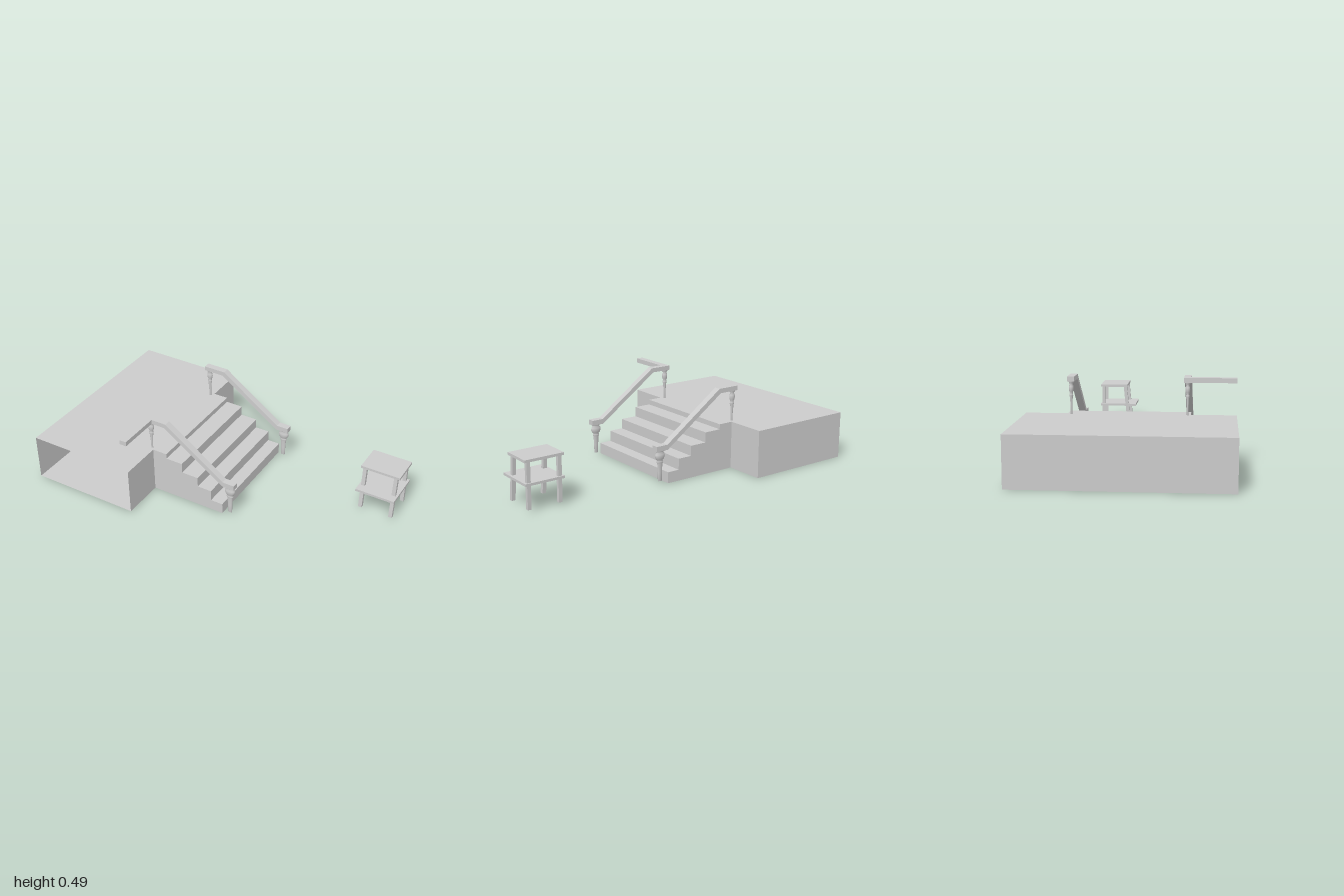
import * as THREE from 'three';

const grey = new THREE.MeshStandardMaterial({ color: 0xcccccc });
const greyThin = new THREE.MeshStandardMaterial({ color: 0xcccccc, side: THREE.DoubleSide });

function add(parent, name, geometry, material = grey) {
  const mesh = new THREE.Mesh(geometry, material);
  mesh.name = name;
  parent.add(mesh);
  return mesh;
}

// Box given by its low and high corners
function boxBetween([x0, y0, z0], [x1, y1, z1]) {
  return new THREE.BoxGeometry(x1 - x0, y1 - y0, z1 - z0)
    .translate((x0 + x1) / 2, (y0 + y1) / 2, (z0 + z1) / 2);
}

// Thin panels, each a loop of four corners
function panels(quads) {
  const pos = [];
  for (const [a, b, c, d] of quads) pos.push(...a, ...b, ...c, ...a, ...c, ...d);
  const geo = new THREE.BufferGeometry();
  geo.setAttribute('position', new THREE.Float32BufferAttribute(pos, 3));
  geo.computeVertexNormals();
  return geo;
}
const flat = (x0, x1, z0, z1, y) => [[x0, y, z1], [x1, y, z1], [x1, y, z0], [x0, y, z0]];
const floorPanel = (...args) => flat(...args).reverse();
const wallRight = (x, z0, z1, y0, y1) => [[x, y0, z1], [x, y0, z0], [x, y1, z0], [x, y1, z1]];
const wallLeft = (...args) => wallRight(...args).reverse();
const wallFront = (x0, x1, z, y0, y1) => [[x0, y0, z], [x1, y0, z], [x1, y1, z], [x0, y1, z]];
const wallBack = (...args) => wallFront(...args).reverse();

const H = 0.28, EDGE = -0.34, DEPTH = 0.585, STAIR_BACK = -0.35, STAIR_FRONT = 0.333;

// Hollow landing, open at the front
function makeLanding(parent) {
  add(parent, 'landing', panels([
    flat(-1, EDGE, -DEPTH, DEPTH, H),
    floorPanel(-1, EDGE, -DEPTH, DEPTH, 0),
    wallLeft(-1, -DEPTH, DEPTH, 0, H),
    wallBack(-1, EDGE, -DEPTH, 0, H),
    wallRight(EDGE, STAIR_FRONT, DEPTH, 0, H),
    wallRight(EDGE, -DEPTH, STAIR_BACK, 0, H),
  ]), greyThin);
}

// Steps with treads, risers, sides and a floor
function makeStairs(parent) {
  const steps = [[-0.25, H], [-0.145, 0.25], [-0.04, 0.19], [0.048, 0.13], [0.123, 0.065]];
  const quads = [floorPanel(EDGE, 0.123, STAIR_BACK, STAIR_FRONT, 0)];
  steps.forEach(([x1, y], i) => {
    const x0 = i ? steps[i - 1][0] : EDGE;
    const below = i < steps.length - 1 ? steps[i + 1][1] : 0;
    quads.push(
      flat(x0, x1, STAIR_BACK, STAIR_FRONT, y),
      wallRight(x1, STAIR_BACK, STAIR_FRONT, below, y),
      wallFront(x0, x1, STAIR_FRONT, 0, y),
      wallBack(x0, x1, STAIR_BACK, 0, y));
  });
  add(parent, 'stairs', panels(quads), greyThin);
}

// Handrail with a level top, a slope and a level foot
function makeRail(parent, name, z0, z1) {
  const outline = [[-0.38, 0.463], [-0.255, 0.463], [0.125, 0.197], [0.2, 0.197],
    [0.2, 0.227], [0.127, 0.227], [-0.245, 0.49], [-0.38, 0.49]];
  const shape = new THREE.Shape(outline.map(([x, y]) => new THREE.Vector2(x, y)));
  const geo = new THREE.ExtrudeGeometry(shape, { depth: z1 - z0, bevelEnabled: false });
  add(parent, name, geo.translate(0, 0, z0));
}

// Turned post, flattened across the stairs
function makePost(parent, name, profile, x, z, flatten) {
  const geo = new THREE.LatheGeometry(profile.map(([r, y]) => new THREE.Vector2(r, y)), 20);
  const post = add(parent, name, geo, greyThin);
  post.position.set(x, 0, z);
  post.scale.z = flatten;
}

const lowerProfile = [[0, 0.018], [0.013, 0.018], [0.014, 0.07], [0.017, 0.12], [0.022, 0.128],
  [0.022, 0.134], [0.017, 0.138], [0.026, 0.147], [0.032, 0.162], [0.031, 0.175],
  [0.022, 0.188], [0.029, 0.192], [0.029, 0.2]];
const upperProfile = [[0, 0.28], [0.006, 0.28], [0.007, 0.33], [0.011, 0.375], [0.014, 0.383],
  [0.014, 0.39], [0.01, 0.396], [0.015, 0.407], [0.018, 0.422], [0.017, 0.435],
  [0.011, 0.447], [0.018, 0.455], [0.018, 0.465]];

function makeRailing(parent, side, z0, z1) {
  const railing = new THREE.Group();
  railing.name = side + 'Railing';
  const z = (z0 + z1) / 2;
  makeRail(railing, side + 'Handrail', z0, z1);
  makePost(railing, side + 'LowerPost', lowerProfile, 0.165, z, 0.55);
  makePost(railing, side + 'UpperPost', upperProfile, -0.358, z, 0.75);
  parent.add(railing);
  return railing;
}

// Small table with a shelf and splayed front legs
function makeStool(parent) {
  const stool = new THREE.Group();
  stool.name = 'stool';
  add(stool, 'stoolTop', boxBetween([0.765, 0.278, -0.295], [1, 0.293, -0.12]));
  add(stool, 'stoolShelf', boxBetween([0.765, 0.151, -0.297], [1, 0.165, -0.063]));
  for (const x of [0.788, 0.975]) {
    add(stool, 'stoolBackLeg', boxBetween([x - 0.011, 0.018, -0.289], [x + 0.011, 0.278, -0.27]));
    const leg = boxBetween([x - 0.011, 0.018, -0.119], [x + 0.011, 0.278, -0.098]);
    const p = leg.attributes.position;
    for (let i = 0; i < p.count; i++) {
      if (p.getY(i) > 0.1) p.setZ(i, p.getZ(i) - 0.026);
    }
    leg.computeVertexNormals();
    add(stool, 'stoolFrontLeg', leg);
  }
  parent.add(stool);
}

export function createModel() {
  const model = new THREE.Group();
  model.name = 'stairsAndStool';
  makeLanding(model);
  makeStairs(model);
  const front = makeRailing(model, 'front', 0.296, 0.335);
  makeRailing(model, 'back', -0.348, -0.308);
  // Branch of the front handrail along the landing
  add(front, 'landingHandrail', boxBetween([-0.38, 0.463, 0.335], [-0.338, 0.49, DEPTH]));
  makeStool(model);
  return model;
}
